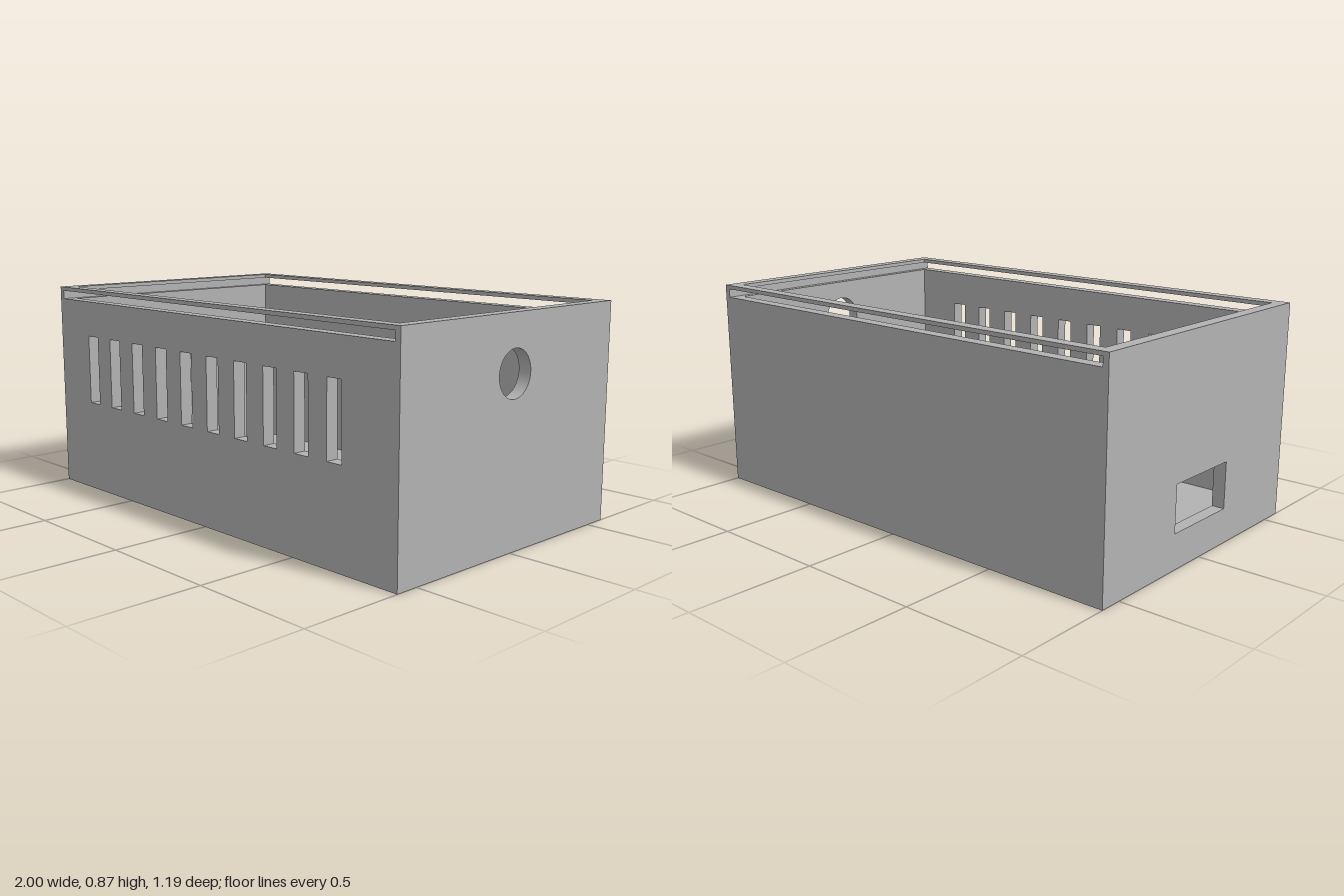
import * as THREE from 'three';

const W = 2, D = 1.187, H = 0.866;   // outer size
const T = 0.051;                     // wall and floor thickness
const GROOVE_Y = 0.815, GROOVE_TOP = 0.85, LIP = 0.024;

const grey = new THREE.MeshStandardMaterial({ color: 0xb2b2b2 });
grey.name = 'grey';

function rect(PathType, x0, y0, x1, y1) {
  return new PathType([[x0, y0], [x1, y0], [x1, y1], [x0, y1]].map(([x, y]) => new THREE.Vector2(x, y)));
}

const near = (a, b) => Math.abs(a - b) < 1e-4;

function addMesh(group, name, geometry) {
  const mesh = new THREE.Mesh(geometry, grey);
  mesh.name = name;
  group.add(mesh);
  return mesh;
}

// Wall with holes, its inner face mitred at the sides and at the floor
function wall(group, name, width, reach, angle, holes) {
  const shape = rect(THREE.Shape, -width / 2, 0, width / 2, GROOVE_Y);
  shape.holes.push(...holes);
  const geo = new THREE.ExtrudeGeometry(shape, { depth: T, bevelEnabled: false, curveSegments: 48 });
  const p = geo.attributes.position;
  for (let i = 0; i < p.count; i++) {
    if (!near(p.getZ(i), 0)) continue;
    const x = p.getX(i);
    if (near(Math.abs(x), width / 2)) p.setX(i, x - Math.sign(x) * T);
    if (near(p.getY(i), 0)) p.setY(i, T);
  }
  geo.computeVertexNormals();
  geo.translate(0, 0, reach - T);
  geo.rotateY(angle);
  addMesh(group, name, geo);
}

export function createModel() {
  const group = new THREE.Group();
  group.name = 'openBox';

  // Ten ventilation slots in the front
  const vents = [];
  for (let i = 0; i < 10; i++) {
    const x = -0.751 + i * 0.1622;
    vents.push(rect(THREE.Path, x - 0.035, 0.38, x + 0.035, 0.668));
  }
  // Round cable hole and rectangular socket opening in the ends
  const cableHole = new THREE.Path().absarc(0, 0.65, 0.09, 0, Math.PI * 2, true);
  const socketHole = rect(THREE.Path, -0.168, 0.14, 0.168, 0.325);

  wall(group, 'frontWall', W, D / 2, 0, vents);
  wall(group, 'backWall', W, D / 2, Math.PI, []);
  wall(group, 'leftWall', D, W / 2, Math.PI / 2, [cableHole]);
  wall(group, 'rightWall', D, W / 2, -Math.PI / 2, [socketHole]);

  // Floor, tapered to meet the mitred walls
  const floor = new THREE.BoxGeometry(W, T, D);
  const p = floor.attributes.position;
  for (let i = 0; i < p.count; i++) {
    if (p.getY(i) < 0) continue;
    p.setX(i, p.getX(i) - Math.sign(p.getX(i)) * T);
    p.setZ(i, p.getZ(i) - Math.sign(p.getZ(i)) * T);
  }
  floor.computeVertexNormals();
  addMesh(group, 'floor', floor).position.y = T / 2;

  // Thin strips behind the lid groove, which is open at front and back
  for (const side of [-1, 1]) {
    const strip = addMesh(group, side > 0 ? 'leftGrooveStrip' : 'rightGrooveStrip',
      new THREE.BoxGeometry(LIP, GROOVE_TOP - GROOVE_Y, D));
    strip.position.set(side * (W - LIP) / 2, (GROOVE_TOP + GROOVE_Y) / 2, 0);
  }

  // Rim above the groove
  const rim = rect(THREE.Shape, -W / 2, -D / 2, W / 2, D / 2);
  rim.holes.push(rect(THREE.Path, -W / 2 + T, -D / 2 + T, W / 2 - T, D / 2 - T));
  const rimGeo = new THREE.ExtrudeGeometry(rim, { depth: H - GROOVE_TOP, bevelEnabled: false });
  rimGeo.rotateX(-Math.PI / 2);
  addMesh(group, 'topRim', rimGeo).position.y = GROOVE_TOP;

  return group;
}
